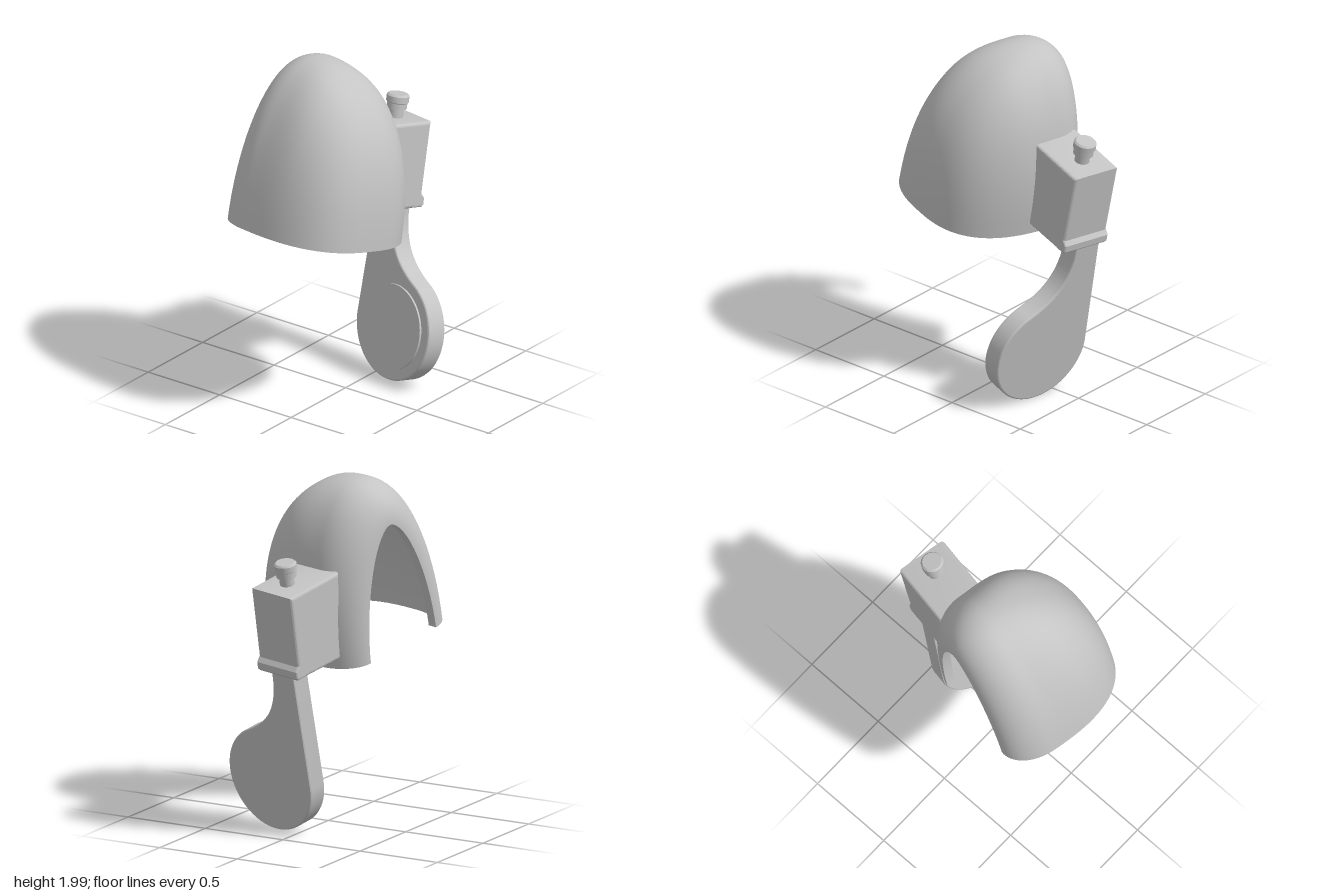
import * as THREE from 'three';
import { toCreasedNormals } from 'three/addons/utils/BufferGeometryUtils.js';

const RIM = 0.98, MID = 0.425, WALL = 0.055;

// Smooth sheet from a function of (u, v), both 0..1
function sheet(fn, nu, nv) {
  const pos = [], idx = [];
  for (let i = 0; i <= nu; i++)
    for (let j = 0; j <= nv; j++) pos.push(...fn(i / nu, j / nv));
  for (let i = 0; i < nu; i++)
    for (let j = 0; j < nv; j++) {
      const a = i * (nv + 1) + j, b = a + nv + 1;
      idx.push(a, b, a + 1, b, b + 1, a + 1);
    }
  const g = new THREE.BufferGeometry();
  g.setAttribute('position', new THREE.Float32BufferAttribute(pos, 3));
  g.setIndex(idx);
  g.computeVertexNormals();
  return g;
}

// Arch size and roundness along the hood: rolled lip at the open side, then a rounded closed end
function archAt(u, t) {
  if (u < 0.3) {
    const a = (1 - u / 0.3) * Math.PI / 2, c = Math.cos(a);
    return {
      x: -0.08 - (0.24 - t) * Math.sin(a), w: 0.27 + (0.175 - t) * c,
      h: 0.74 + (0.23 - t) * c, e: 1.72 + 0.38 * c,
    };
  }
  const s = 1 - Math.pow(1 - (u - 0.3) / 0.7, 2.3);
  return {
    x: -0.08 + (0.605 - t) * s,
    w: (0.445 - t) * Math.pow(1 - Math.pow(s, 2.65), 0.377),
    h: (0.97 - t) * Math.pow(1 - s * s, 0.37),
    e: 2.1 + 0.3 * THREE.MathUtils.smoothstep(s, 0, 0.5),
  };
}

function hoodPoint(u, v, t) {
  const { x, w, h, e } = archAt(u, t), a = v * Math.PI;
  const c = Math.cos(a), s = v === 1 ? 0 : Math.sin(a);
  const y = h * Math.pow(s, 2 / e);
  return [x, RIM + y, MID + w * Math.sign(c) * Math.pow(Math.abs(c), 2 / e)];
}

export function createModel() {
  const grey = new THREE.MeshStandardMaterial({ color: 0xc4c4c4, side: THREE.DoubleSide });
  grey.name = 'grey';
  const model = new THREE.Group();
  model.name = 'hoodWithClampAndArm';
  const add = (name, geometry, parent = model) => {
    const m = new THREE.Mesh(geometry, grey);
    m.name = name;
    parent.add(m);
    return m;
  };

  // Hood: outer and inner skins, opening edge and bottom rim
  const hood = new THREE.Group();
  hood.name = 'hood';
  model.add(hood);
  add('hoodOuter', sheet((u, v) => hoodPoint(u, v, 0), 60, 64), hood);
  add('hoodInner', sheet((u, v) => hoodPoint(u, 1 - v, WALL), 60, 64), hood);
  add('openingEdge', sheet((u, v) => hoodPoint(0, v, u * WALL), 1, 64), hood);
  for (const side of [0, 1])
    add(side ? 'rimBack' : 'rimFront',
      sheet((u, v) => hoodPoint(u, side, (side ? 1 - v : v) * WALL), 60, 1), hood);

  // Clamp block, seated against the hood wall
  const bevel = (b, n) => ({ bevelEnabled: true, bevelThickness: b, bevelSize: b, bevelOffset: -b, bevelSegments: n });
  const side = (points, x, width, b) => {
    const shape = new THREE.Shape(points.map(p => new THREE.Vector2(...p)));
    const g = new THREE.ExtrudeGeometry(shape, { depth: width - 2 * b, ...bevel(b, 3) });
    g.rotateY(-Math.PI / 2);
    g.translate(x - b, 0, 0);
    return toCreasedNormals(g, 0.25);
  };
  add('clampBlock', side([[-0.318, 1.045], [0.035, 1.04], [0.085, 1.545], [-0.318, 1.545]], 0.081, 0.303, 0.018));
  // Rounded lip along the block's lower back edge
  add('clampLip', side([[-0.328, 1.046], [-0.26, 1.046], [-0.26, 1.13], [-0.312, 1.13],
    [-0.34, 1.1], [-0.34, 1.06]], 0.081, 0.303, 0.012));

  // Screw knob on top of the block
  const knob = [[0, 1.53], [0.042, 1.53], [0.042, 1.595], [0.057, 1.595], [0.057, 1.63], [0.064, 1.635],
    [0.064, 1.67], [0.054, 1.68], [0, 1.68]].map(p => new THREE.Vector2(...p));
  add('knob', toCreasedNormals(new THREE.LatheGeometry(knob, 40), 0.3)).position.set(-0.069, 0, -0.177);

  // Hanging arm that widens into a round paddle
  const cx = 0.094, cy = 0.368, r = 0.306, end = 62 * Math.PI / 180;
  const arm = new THREE.Shape();
  arm.moveTo(-0.176, 1.08);
  arm.lineTo(cx - r, cy);
  arm.absarc(cx, cy, r, Math.PI, 2 * Math.PI + end, false);
  arm.bezierCurveTo(0.11, 0.7, 0.0, 0.78, -0.015, 0.98);
  arm.lineTo(-0.015, 1.08);
  const b = 0.01, back = -0.327, thick = 0.12;
  const armGeo = new THREE.ExtrudeGeometry(arm, { depth: thick - 2 * b, curveSegments: 48, ...bevel(b, 2) });
  armGeo.translate(0, 0, back + b);
  add('arm', toCreasedNormals(armGeo, 0.3));

  // Slightly raised round pad on the paddle's front
  const pad = new THREE.CylinderGeometry(0.243, 0.243, 0.03, 64);
  pad.rotateX(Math.PI / 2);
  add('paddlePad', pad).position.set(cx, cy, back + thick - 0.003);

  // Overall lean and turn
  model.rotation.set(-0.205, -0.215, 0);
  return model;
}
